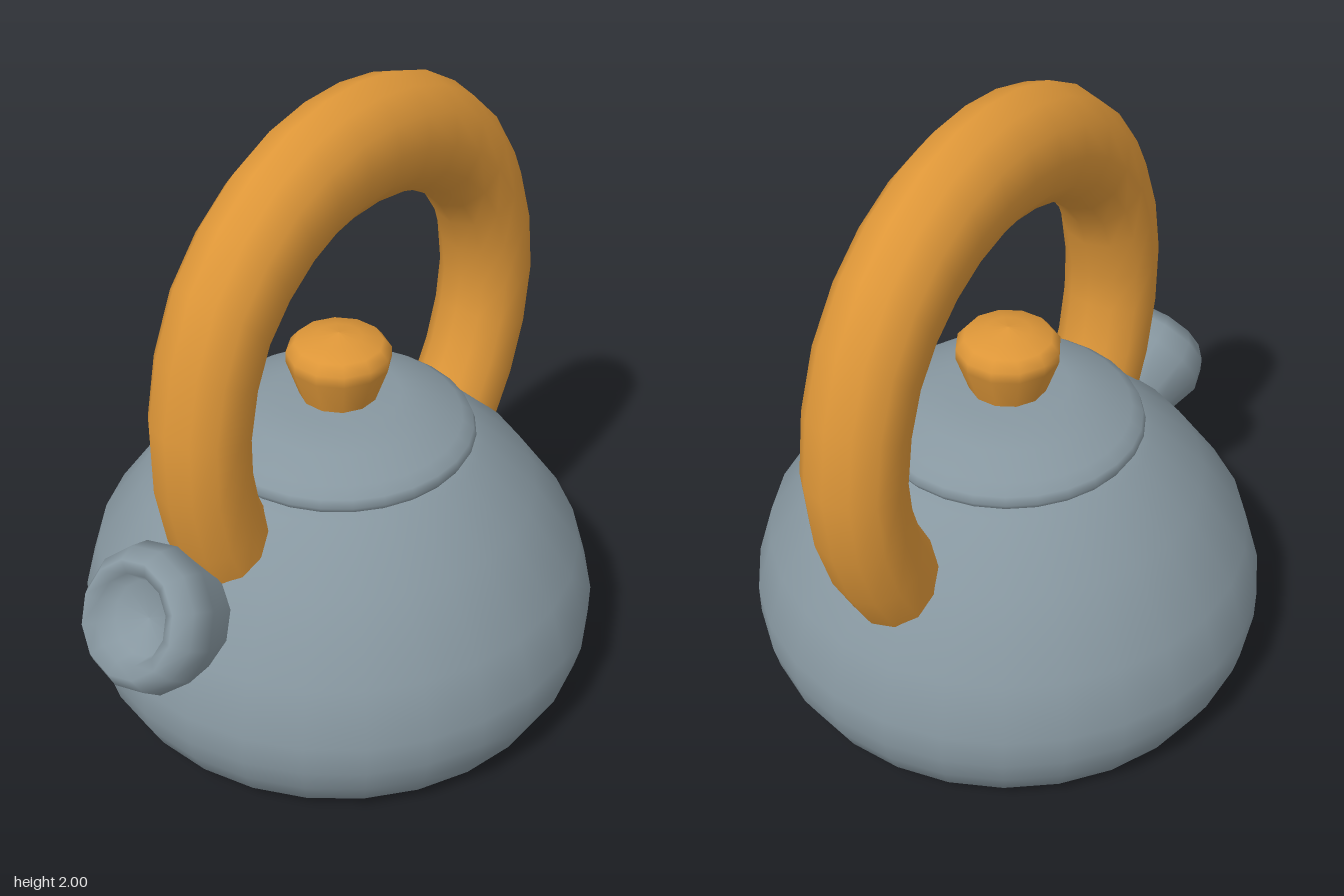
import * as THREE from 'three';

const enamel = new THREE.MeshStandardMaterial({ color: 0x8797a0 });
enamel.name = 'greyEnamel';
const wood = new THREE.MeshStandardMaterial({ color: 0xdd9638 });
wood.name = 'orangeWood';

function part(name, geometry, material) {
  const mesh = new THREE.Mesh(geometry, material);
  mesh.name = name;
  return mesh;
}

// Profile is a list of [radius, height], from the bottom up
function turned(name, profile, sides, material) {
  const points = profile.map(([r, y]) => new THREE.Vector2(r, y));
  return part(name, new THREE.LatheGeometry(points, sides), material);
}

export function createModel() {
  const kettle = new THREE.Group();
  kettle.name = 'kettle';

  // Squat body with a flat base
  kettle.add(turned('body', [
    [0.66, 0.005], [0.70, 0.015], [0.755, 0.06], [0.8, 0.15], [0.818, 0.23], [0.818, 0.33],
    [0.765, 0.51], [0.615, 0.72], [0.45, 0.87], [0.38, 0.89],
  ], 28, enamel));
  const base = part('base', new THREE.CircleGeometry(0.66, 28), enamel);
  base.rotation.set(Math.PI / 2, 0, Math.PI / 2);
  base.position.y = 0.005;
  kettle.add(base);

  // Lid with a rolled rim
  kettle.add(turned('lid', [
    [0.36, 0.872], [0.41, 0.875], [0.424, 0.9], [0.415, 0.925], [0.38, 0.95],
    [0.29, 0.995], [0.19, 1.025], [0, 1.028],
  ], 28, enamel));

  // Flared knob
  kettle.add(turned('knob', [
    [0.115, 1.01], [0.16, 1.14], [0.16, 1.175], [0.135, 1.205], [0.07, 1.222], [0, 1.235],
  ], 12, wood));

  // Handle and spout share one plane, turned diagonally
  const diagonal = new THREE.Group();
  diagonal.name = 'handleAndSpout';
  diagonal.rotation.y = THREE.MathUtils.degToRad(43.8);
  kettle.add(diagonal);

  // Arched handle: a round tube stretched upward, so it is thickest at the top
  const stretch = 1.33;
  const arch = new THREE.CatmullRomCurve3([
    [-0.42, 0.58], [-0.535, 0.8], [-0.585, 1.0], [-0.59, 1.2], [-0.5, 1.5], [-0.26, 1.735],
    [0.075, 1.82], [0.41, 1.735], [0.645, 1.5], [0.735, 1.18], [0.7, 0.92], [0.6, 0.7], [0.5, 0.58],
  ].map(([x, y]) => new THREE.Vector3(x, y / stretch, 0)));
  const tube = new THREE.TubeGeometry(arch, 22, 0.137, 12);
  tube.scale(1, stretch, 1.12);
  diagonal.add(part('handle', tube, wood));

  // Flared spout with a rounded lip and a hollow mouth
  const spout = turned('spout', [
    [0.13, -0.42], [0.15, -0.3], [0.222, -0.1], [0.208, -0.03], [0.17, 0.018],
    [0.13, 0], [0.11, -0.06], [0, -0.08],
  ], 12, enamel);
  spout.position.set(-0.89, 0.7, -0.01);
  spout.rotation.z = Math.PI / 3;
  diagonal.add(spout);

  return kettle;
}
